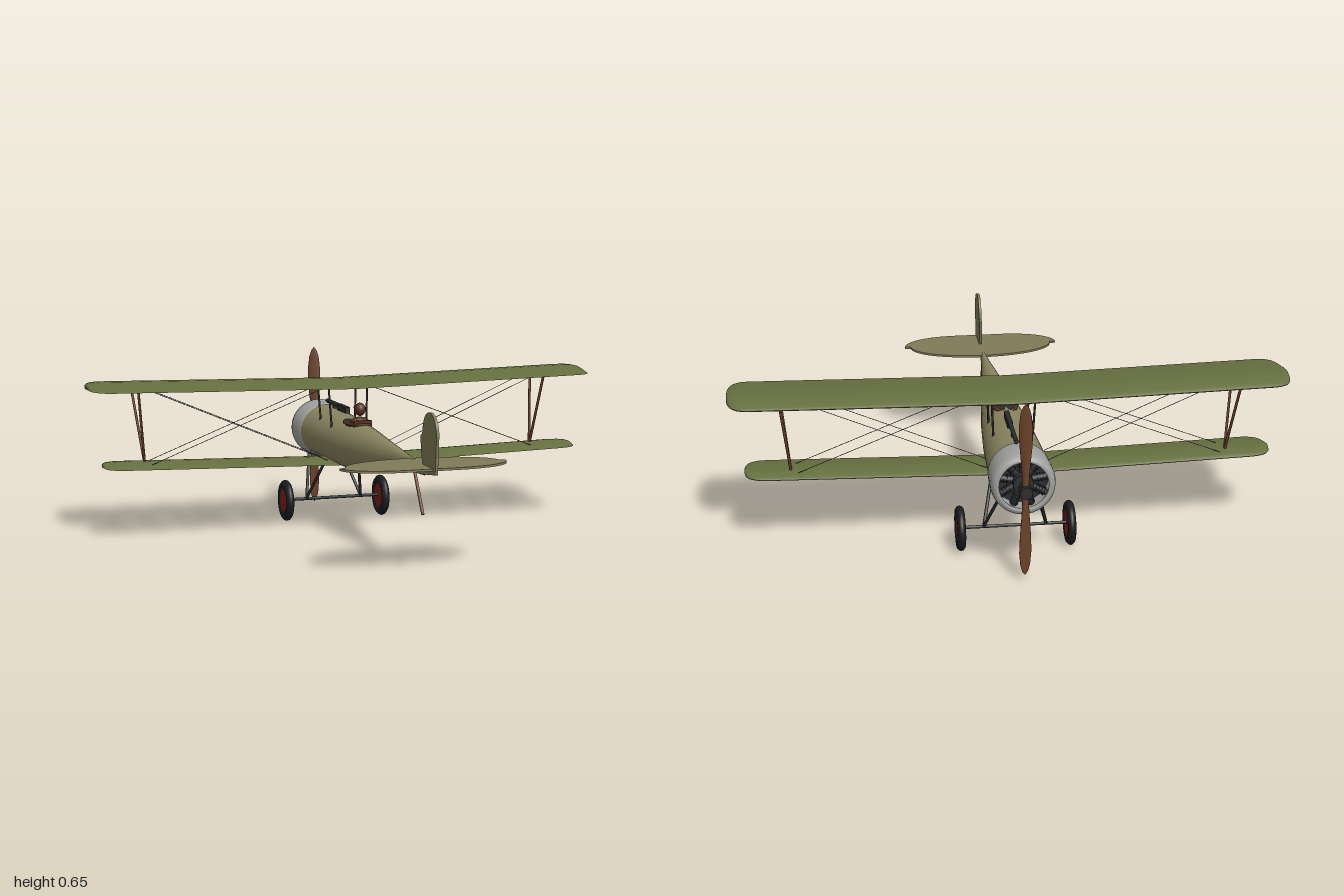
import * as THREE from 'three';

const V = (x, y, z) => new THREE.Vector3(x, y, z);
const paint = (color, side = THREE.FrontSide) => {
  const m = new THREE.MeshStandardMaterial({ side });
  m.color.set(color);
  return m;
};
const green = paint(0x667040, THREE.DoubleSide), linen = paint(0x8b8468), khaki = paint(0x8a8560),
  tailPaint = paint(0x7f7a58), silver = paint(0xa2a3a0, THREE.DoubleSide), wood = paint(0x6b4229),
  dark = paint(0x2b2c2e), rubber = paint(0x1c1d1f), red = paint(0x7d1f1a), leather = paint(0x56301d);
linen.side = THREE.DoubleSide;

export function createModel() {
  const model = new THREE.Group();
  const add = (name, geo, mat, x = 0, y = 0, z = 0) => {
    const m = new THREE.Mesh(geo, mat);
    m.name = name;
    m.position.set(x, y, z);
    model.add(m);
    return m;
  };
  // Round bar between two points, optionally flattened across x
  const bar = (name, a, b, r, mat, flat = 1, sides = 8) => {
    const m = add(name, new THREE.CylinderGeometry(r, r, a.distanceTo(b), sides), mat);
    m.position.copy(a).lerp(b, 0.5);
    m.quaternion.setFromUnitVectors(V(0, 1, 0), b.clone().sub(a).normalize());
    m.scale.x = flat;
    return m;
  };
  // Surface through rows of points of equal length
  const loft = (rows) => {
    const n = rows[0].length, idx = [], g = new THREE.BufferGeometry();
    for (let i = 0; i < rows.length - 1; i++)
      for (let j = 0; j < n - 1; j++) {
        const a = i * n + j, b = a + n;
        idx.push(a, a + 1, b, a + 1, b + 1, b);
      }
    g.setFromPoints(rows.flat());
    g.setIndex(idx);
    g.computeVertexNormals();
    return g;
  };

  // Fuselage: elliptical sections [z, top, bottom, half width]
  const sections = [[-0.58, 0.44, 0.236, 0.106], [-0.45, 0.438, 0.238, 0.104], [-0.3, 0.435, 0.238, 0.097],
    [-0.15, 0.431, 0.243, 0.085], [0, 0.424, 0.257, 0.069], [0.1, 0.417, 0.272, 0.057], [0.2, 0.41, 0.292, 0.045],
    [0.32, 0.402, 0.316, 0.03], [0.42, 0.394, 0.333, 0.018], [0.52, 0.387, 0.342, 0.01], [0.615, 0.38, 0.347, 0.006],
    [0.616, 0.364, 0.363, 0.001]];
  add('fuselage', loft(sections.map(([z, t, b, w]) => Array.from({ length: 33 }, (_, i) => {
    const a = i / 32 * Math.PI * 2;
    return V(Math.cos(a) * w, (t + b) / 2 + Math.sin(a) * (t - b) / 2, z);
  }))), khaki);

  // Engine cowl, open at the nose
  const cowl = add('cowl', new THREE.LatheGeometry([[0.104, 0], [0.111, 0.01], [0.113, 0.06], [0.113, 0.105],
    [0.109, 0.125], [0.1, 0.135], [0.09, 0.137], [0.086, 0.132], [0.088, 0.12], [0.1, 0.1], [0.1, 0.02]]
    .map(p => new THREE.Vector2(...p)), 40), silver, 0, 0.338, -0.555);
  cowl.rotation.x = -Math.PI / 2;
  const disc = add('firewall', new THREE.CylinderGeometry(0.101, 0.101, 0.01, 32), dark, 0, 0.338, -0.59);
  disc.rotation.x = Math.PI / 2;
  // Rotary engine with nine finned cylinders
  const crank = add('crankcase', new THREE.CylinderGeometry(0.036, 0.036, 0.08, 20), dark, 0, 0.338, -0.635);
  crank.rotation.x = Math.PI / 2;
  for (let i = 0; i < 9; i++) {
    const a = i / 9 * Math.PI * 2 + Math.PI / 2;
    const at = r => V(Math.cos(a) * r, 0.338 + Math.sin(a) * r, -0.64);
    bar('engineCylinder', at(0.025), at(0.094), 0.012, dark, 1, 12);
    for (let k = 0; k < 4; k++) bar('coolingFin', at(0.052 + k * 0.011), at(0.056 + k * 0.011), 0.016, dark, 1, 12);
  }

  // Propeller: twisted blades lofted from lens sections [radius, half width, half thickness]
  const blade = [[0.01, 0.012, 0.011], [0.05, 0.013, 0.01], [0.1, 0.018, 0.008], [0.17, 0.024, 0.006],
    [0.23, 0.025, 0.0045], [0.28, 0.019, 0.003], [0.305, 0.011, 0.002], [0.318, 0.001, 0.0005]];
  for (const s of [0, Math.PI]) {
    const rows = blade.map(([r, w, t]) => Array.from({ length: 17 }, (_, i) => {
      const a = -i / 16 * Math.PI * 2, tw = 0.75 - r * 1.4;
      const p = Math.cos(a) * w, q = Math.sin(a) * t;
      return V(p * Math.cos(tw) - q * Math.sin(tw), r, p * Math.sin(tw) + q * Math.cos(tw));
    }));
    add('propellerBlade', loft(rows), wood, 0, 0.337, -0.725).rotation.z = s;
    wood.side = THREE.DoubleSide;
  }
  for (const [r, l, z] of [[0.022, 0.014, -0.742], [0.016, 0.05, -0.723], [0.022, 0.014, -0.708], [0.012, 0.07, -0.685]])
    add('propellerHub', new THREE.CylinderGeometry(r, r, l, 18), dark, 0, 0.337, z).rotation.x = Math.PI / 2;

  // Wings: cambered skins with rounded tips and slight dihedral
  const us = [0, 0.03, 0.1, 0.25, 0.4, 0.6, 0.8, 1];
  const tops = [0.006, 0.013, 0.018, 0.0235, 0.0245, 0.02, 0.012, 0.003];
  const bottoms = [0.006, 0, 0.001, 0.004, 0.005, 0.005, 0.004, 0.003];
  const wing = (name, span, zFront, zBack, y0, rise, tip, thick) => {
    const xs = [0];
    for (let i = 0; i <= 12; i++) xs.push(span - tip + tip * Math.sin(i / 12 * Math.PI / 2));
    const stations = [...xs.slice(1).reverse().map(x => -x), ...xs];
    const skin = ys => loft(stations.map(x => {
      const t = Math.max(0, (Math.abs(x) - span + tip) / tip);
      const k = Math.max(0.02, Math.cbrt(Math.max(0, 1 - t ** 3)));
      const mid = (zFront + zBack) / 2, half = (zBack - zFront) / 2 * k;
      return us.map((u, j) => V(x, y0 + rise * Math.abs(x) / span + ys[j] * thick * (0.4 + 0.6 * k), mid + half * (2 * u - 1)));
    }));
    add(name + 'Top', skin(tops), green);
    const g = skin(bottoms);
    g.index.array.reverse();
    g.computeVertexNormals();
    add(name + 'Underside', g, linen);
  };
  wing('upperWing', 1, -0.47, -0.178, 0.547, 0.021, 0.09, 1);
  wing('lowerWing', 0.95, -0.395, -0.208, 0.25, 0.025, 0.1, 0.75);

  // Tailplane with wider elevator
  const tail = new THREE.Shape();
  tail.moveTo(0.28, -0.605);
  tail.absellipse(0, -0.605, 0.28, 0.13, 0, Math.PI);
  tail.lineTo(-0.303, -0.605);
  tail.bezierCurveTo(-0.3, -0.67, -0.21, -0.715, -0.09, -0.715);
  tail.lineTo(0.09, -0.715);
  tail.bezierCurveTo(0.21, -0.715, 0.3, -0.67, 0.303, -0.605);
  add('tailplane', new THREE.ExtrudeGeometry(tail, { depth: 0.008, bevelEnabled: false, curveSegments: 32 }),
    tailPaint, 0, 0.378, 0).rotation.x = -Math.PI / 2;

  // Rudder, drawn in the z-y plane
  const fin = new THREE.Shape();
  fin.moveTo(0.61, 0.35);
  fin.lineTo(0.735, 0.367);
  fin.lineTo(0.747, 0.5);
  fin.bezierCurveTo(0.747, 0.545, 0.715, 0.573, 0.675, 0.573);
  fin.bezierCurveTo(0.64, 0.573, 0.61, 0.55, 0.603, 0.492);
  fin.lineTo(0.587, 0.483);
  fin.quadraticCurveTo(0.588, 0.43, 0.608, 0.385);
  add('rudder', new THREE.ExtrudeGeometry(fin, { depth: 0.01, bevelEnabled: false, curveSegments: 16 }),
    tailPaint, 0.005, 0, 0).rotation.y = -Math.PI / 2;
  bar('tailSkid', V(0, 0.345, 0.512), V(0, 0.207, 0.6), 0.006, wood);

  for (const s of [-1, 1]) {
    // V-shaped wing struts and cabane struts
    for (const z of [-0.265, -0.41]) {
      bar('wingStrut', V(s * 0.785, 0.275, -0.33), V(s * 0.818, 0.57, z), 0.007, wood, 0.7);
      bar('cabaneStrut', V(s * 0.07, 0.395, z + 0.015), V(s * 0.078, 0.558, z), 0.004, dark);
    }
    // Bracing wires
    for (const z of [-0.27, -0.36]) {
      bar('bracingWire', V(s * 0.08, 0.265, z), V(s * 0.79, 0.57, z), 0.0012, dark, 1, 5);
      bar('bracingWire', V(s * 0.08, 0.553, z), V(s * 0.78, 0.278, z), 0.0012, dark, 1, 5);
    }
    // Undercarriage legs and wheels
    for (const z of [-0.345, -0.57])
      bar('undercarriageLeg', V(s * 0.068, 0.25, z), V(s * 0.112, 0.085, -0.456), 0.006, dark);
    const tyre = add('tyre', new THREE.LatheGeometry([[0.046, -0.01], [0.058, -0.015], [0.071, -0.014], [0.079, -0.007],
      [0.081, 0], [0.079, 0.007], [0.071, 0.014], [0.058, 0.015], [0.046, 0.01]]
      .map(p => new THREE.Vector2(...p)), 36), rubber, s * 0.197, 0.081, -0.456);
    const hub = add('wheelDisc', new THREE.CylinderGeometry(0.047, 0.047, 0.022, 32), red, s * 0.197, 0.081, -0.456);
    tyre.rotation.z = hub.rotation.z = Math.PI / 2;
  }
  bar('axle', V(-0.2, 0.083, -0.456), V(0.2, 0.083, -0.456), 0.006, dark);

  // Cockpit with padded rim, seat and pilot
  const rim = add('cockpitRim', new THREE.TorusGeometry(0.045, 0.006, 10, 36), leather, 0, 0.426, -0.145);
  rim.rotation.x = Math.PI / 2;
  rim.scale.y = 1.75;
  add('cockpitFloor', new THREE.CylinderGeometry(0.044, 0.044, 0.02, 32), dark, 0, 0.422, -0.145).scale.z = 1.75;
  add('seatBack', new THREE.BoxGeometry(0.07, 0.03, 0.01), leather, 0, 0.427, -0.08);
  add('pilotShoulders', new THREE.SphereGeometry(0.03, 20, 12), leather, 0, 0.43, -0.115).scale.set(1.25, 0.75, 0.9);
  add('pilotHead', new THREE.SphereGeometry(0.025, 20, 14), leather, 0, 0.481, -0.113).scale.x = 0.85;
  for (const s of [-1, 1])
    add('goggle', new THREE.CylinderGeometry(0.007, 0.007, 0.012, 12), dark, s * 0.009, 0.486, -0.136).rotation.x = Math.PI / 2;

  // Forward machine gun
  bar('gunBarrel', V(0.012, 0.456, -0.4), V(0.012, 0.456, -0.577), 0.008, dark, 1, 12);
  add('gunBody', new THREE.BoxGeometry(0.018, 0.024, 0.11), dark, 0.012, 0.451, -0.36);
  add('gunMount', new THREE.BoxGeometry(0.01, 0.03, 0.02), dark, 0.012, 0.44, -0.48);

  return model;
}
